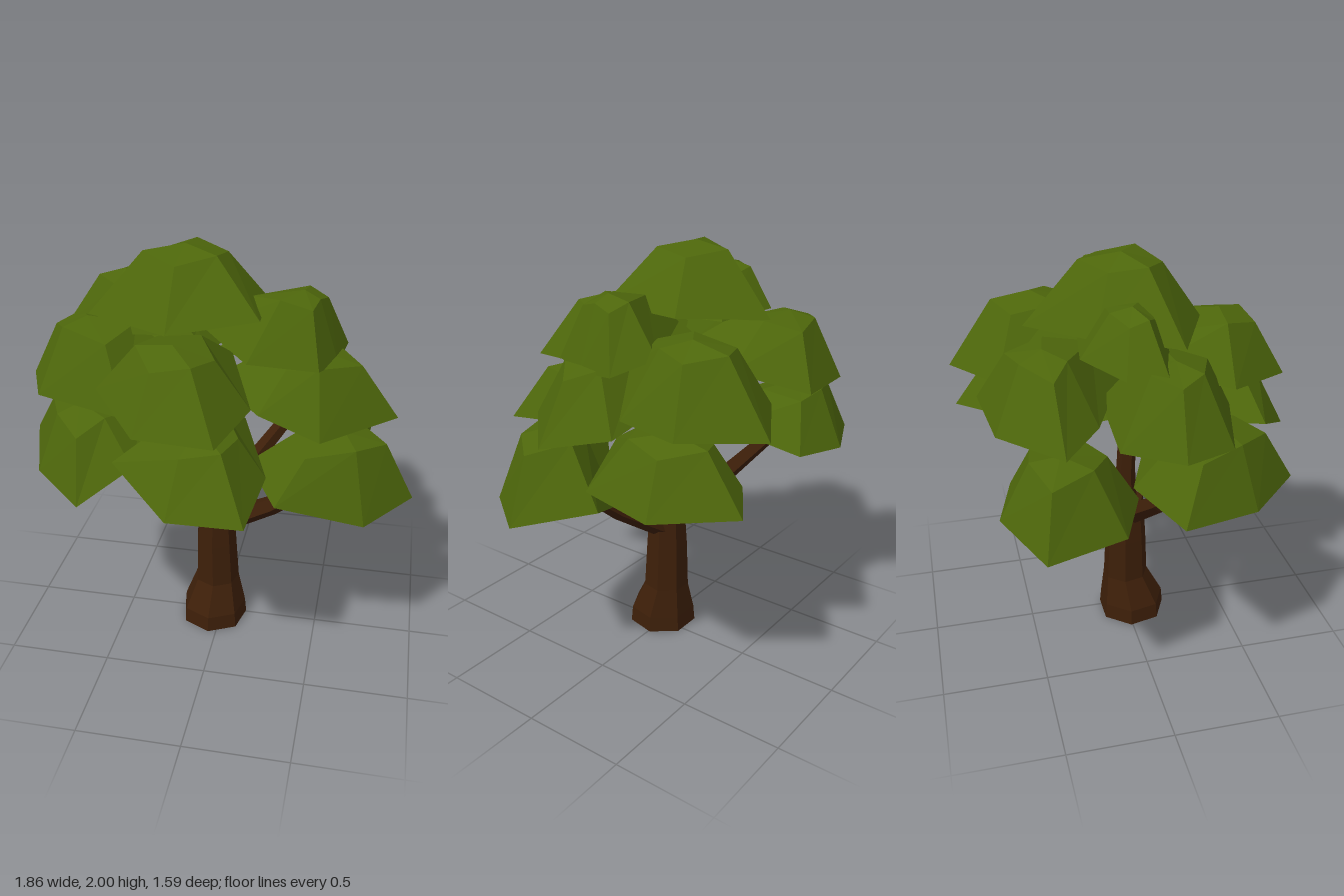
import * as THREE from 'three';

const bark = new THREE.MeshStandardMaterial({ color: 0x3d1f09 });
bark.name = 'bark brown';
const leaf = new THREE.MeshStandardMaterial({ color: 0x4d660b });
leaf.name = 'leaf green';
const shade = new THREE.MeshStandardMaterial({ color: 0x0a0a0a });
shade.name = 'underside black';

// Faceted tapered limb through stations [x, y, z, radius], its rings square to the given direction
function limb(name, path, sides, dir) {
  const segs = path.length - 1;
  const geo = new THREE.CylinderGeometry(1, 1, 1, sides, segs).toNonIndexed();
  const pts = path.map(([x, y, z]) => new THREE.Vector3(x, y, z));
  const turn = new THREE.Quaternion().setFromUnitVectors(new THREE.Vector3(0, 1, 0), dir);
  const pos = geo.attributes.position;
  const v = new THREE.Vector3();
  for (let i = 0; i < pos.count; i++) {
    v.fromBufferAttribute(pos, i);
    const k = Math.round((v.y + 0.5) * segs);
    v.setY(0).multiplyScalar(path[k][3]).applyQuaternion(turn).add(pts[k]);
    pos.setXYZ(i, v.x, v.y, v.z);
  }
  geo.computeVertexNormals();
  const mesh = new THREE.Mesh(geo, bark);
  mesh.name = name;
  return mesh;
}

// Faceted dome of leaves over a rim of [x, y, z] corners, with a dark underside
function clump(name, top, rim, spread, drop) {
  const n = rim.length;
  const c = new THREE.Vector3();
  const base = rim.map((p) => new THREE.Vector3(...p));
  base.forEach((p) => c.addScaledVector(p, 1 / n));
  base.sort((a, b) => Math.atan2(c.z - a.z, a.x - c.x) - Math.atan2(c.z - b.z, b.x - c.x));
  // The peak leans outward from the trunk
  const apex = new THREE.Vector3(c.x * 1.1, top, c.z * 1.1);
  const upper = base.map((p, i) => {
    const s = spread + (i % 2 ? 0.04 : -0.04);
    return new THREE.Vector3(
      apex.x + (p.x - apex.x) * s,
      top - (i % 2 ? 0.05 : 0.02) + Math.min(0, p.y - c.y) * 0.3,
      apex.z + (p.z - apex.z) * s
    );
  });
  const bottom = new THREE.Vector3(c.x, c.y - drop, c.z);
  const green = [];
  const dark = [];
  for (let i = 0; i < n; i++) {
    const j = (i + 1) % n;
    green.push(base[i], base[j], upper[j], base[i], upper[j], upper[i], upper[i], upper[j], apex);
    dark.push(base[j], base[i], bottom);
  }
  const geo = new THREE.BufferGeometry().setFromPoints([...green, ...dark]);
  geo.addGroup(0, green.length, 0);
  geo.addGroup(green.length, dark.length, 1);
  geo.computeVertexNormals();
  const mesh = new THREE.Mesh(geo, [leaf, shade]);
  mesh.name = name;
  return mesh;
}

export function createModel() {
  const tree = new THREE.Group();
  tree.name = 'tree';

  // Trunk with a flared foot
  tree.add(limb('trunk', [
    [-0.04, 0, 0.03, 0.172], [-0.04, 0.08, 0.03, 0.165], [-0.03, 0.23, 0, 0.115],
    [-0.035, 0.46, 0, 0.105], [-0.035, 0.68, 0, 0.09],
  ], 7, new THREE.Vector3(0, 1, 0)));

  // Branches
  const branches = {
    frontLeftBranch: [[0, 0.57, 0, 0.06], [0.26, 0.74, 0.07, 0.05], [0.47, 0.91, 0.12, 0.035]],
    backLeftBranch: [[-0.03, 0.62, -0.02, 0.06], [0.12, 0.83, -0.2, 0.045], [0.32, 1.08, -0.37, 0.035]],
    backRightBranch: [[-0.06, 0.6, -0.01, 0.06], [-0.28, 0.8, -0.18, 0.045], [-0.47, 0.98, -0.32, 0.035]],
    frontRightBranch: [[-0.06, 0.6, 0.01, 0.06], [-0.3, 0.79, 0.1, 0.045], [-0.53, 1.04, 0.22, 0.035]],
    middleBranch: [[-0.04, 0.6, 0, 0.06], [-0.05, 0.85, 0, 0.045], [-0.07, 1.2, 0.02, 0.025]],
  };
  for (const [name, path] of Object.entries(branches)) {
    const [start, , end] = path.map(([x, y, z]) => new THREE.Vector3(x, y, z));
    tree.add(limb(name, path, 5, end.sub(start).normalize()));
  }

  // Leaf clumps: lower ring
  const lower = [
    [1.25, [[0.33, 1.02, 0.53], [0.72, 0.89, 0.41], [0.93, 0.9, 0.13], [0.68, 0.96, -0.16], [0.44, 0.87, -0.06], [0.16, 1.06, 0.22]]],
    [1.37, [[-0.38, 1.2, 0.58], [-0.1, 1.05, 0.78], [0.24, 1.06, 0.79], [0.28, 1.12, 0.45], [0.12, 1.2, 0.05], [-0.2, 1.2, 0.05]]],
    [1.33, [[-0.93, 1.05, 0.04], [-0.8, 1.01, 0.4], [-0.53, 1, 0.66], [-0.32, 1.12, 0.48], [-0.15, 1.2, 0.1], [-0.6, 1.08, -0.1]]],
    [1.28, [[-0.92, 0.96, -0.53], [-0.57, 0.98, -0.68], [-0.3, 1, -0.6], [-0.2, 1.1, -0.22], [-0.5, 0.96, -0.05], [-0.8, 0.96, -0.17]]],
    [1.33, [[0.3, 1.08, -0.65], [0.5, 1.04, -0.78], [0.72, 1.01, -0.45], [0.69, 1.05, -0.1], [0.35, 1.17, 0], [0.05, 1.18, -0.25]]],
  ];
  // Middle ring
  const middle = [
    [1.58, [[0.22, 1.36, 0.33], [0.5, 1.26, 0.35], [0.83, 1.26, 0.03], [0.65, 1.3, -0.22], [0.25, 1.38, -0.25], [-0.04, 1.4, 0.05]]],
    [1.7, [[-0.5, 1.45, 0.38], [-0.25, 1.39, 0.7], [0.1, 1.38, 0.71], [0.2, 1.42, 0.4], [0.05, 1.52, 0.02], [-0.35, 1.52, 0.02]]],
    [1.67, [[-0.92, 1.35, 0.04], [-0.82, 1.34, 0.27], [-0.37, 1.32, 0.4], [-0.12, 1.42, 0.05], [-0.4, 1.42, -0.2], [-0.78, 1.36, -0.2]]],
    [1.68, [[-0.53, 1.36, -0.67], [-0.16, 1.38, -0.71], [0, 1.46, -0.38], [-0.1, 1.48, 0], [-0.62, 1.4, -0.25], [-0.8, 1.36, -0.42]]],
    [1.69, [[0, 1.36, -0.6], [0.34, 1.33, -0.8], [0.56, 1.32, -0.47], [0.57, 1.36, -0.2], [0.3, 1.45, 0.08], [-0.05, 1.46, -0.15]]],
  ];
  // Crown
  const crown = [
    [2, [[-0.6, 1.7, 0.12], [-0.2, 1.69, 0.3], [0.2, 1.74, 0.18], [0.18, 1.72, -0.2], [-0.15, 1.69, -0.49], [-0.42, 1.7, -0.22]]],
    [1.84, [[0.15, 1.56, 0.24], [0.47, 1.54, 0.22], [0.54, 1.52, 0.05], [0.57, 1.54, -0.15], [0.4, 1.6, -0.27], [-0.1, 1.62, -0.02]]],
    [1.86, [[-0.73, 1.62, 0.02], [-0.5, 1.6, 0.1], [-0.1, 1.64, 0.15], [-0.12, 1.65, -0.25], [-0.48, 1.65, -0.3], [-0.68, 1.62, -0.15]]],
  ];
  const layers = [['lower', lower, 0.54, 0.06], ['middle', middle, 0.5, 0.07], ['crown', crown, 0.47, 0]];
  for (const [label, list, spread, drop] of layers) {
    list.forEach(([top, rim], i) => tree.add(clump(`${label}LeafClump${i + 1}`, top, rim, spread, drop)));
  }
  return tree;
}
